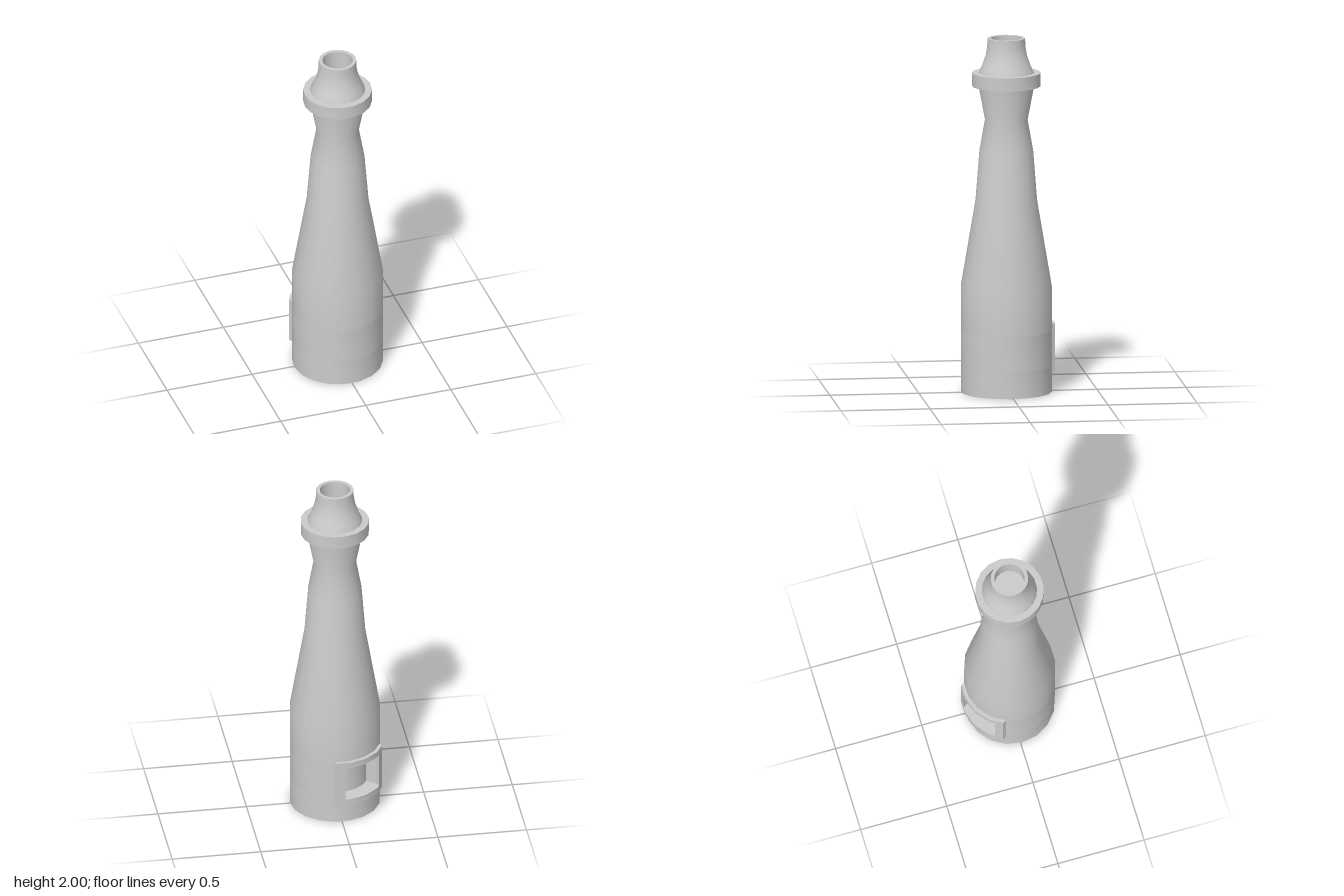
import * as THREE from 'three';
import { toCreasedNormals } from 'three/addons/utils/BufferGeometryUtils.js';

const SIDES = 18;
const STEP = (Math.PI * 2) / SIDES;
const RADIUS = 0.254;
const WINDOW = { bottom: 0.15, top: 0.35, half: 0.122, floorHalf: 0.098, floorRadius: 0.185 };
const FRAME = { bottom: 0.115, top: 0.385, half: 0.162, inner: 0.245, outer: 0.275 };

const material = new THREE.MeshStandardMaterial({ color: 0xcccccc });

function addMesh(parent, name, geometry) {
  const mesh = new THREE.Mesh(toCreasedNormals(geometry, Math.PI / 6), material);
  mesh.name = name;
  parent.add(mesh);
}

function lathe(profile) {
  return new THREE.LatheGeometry(profile.map(([r, y]) => new THREE.Vector2(r, y)), SIDES);
}

// Extrudes a floor plan of [x, z] points upwards between two heights
function extrudePlan(plan, bottom, top) {
  const shape = new THREE.Shape(plan.map(([x, z]) => new THREE.Vector2(x, -z)));
  const geometry = new THREE.ExtrudeGeometry(shape, { depth: top - bottom, bevelEnabled: false });
  return geometry.rotateX(-Math.PI / 2).translate(0, bottom, 0);
}

const corner = (r, k) => [r * Math.sin(k * STEP), r * Math.cos(k * STEP)];

// Point on the front of the polygon of radius r, at sideways offset x
function onWall(r, x) {
  let k = 0;
  while (corner(r, k + 1)[0] < Math.abs(x) && k < 3) k++;
  const [x0, z0] = corner(r, k);
  const [x1, z1] = corner(r, k + 1);
  return [x, z0 + ((z1 - z0) * (Math.abs(x) - x0)) / (x1 - x0)];
}

// Follows the polygon wall from x0 to x1, keeping its corners
function wallPath(r, x0, x1) {
  const corners = [-3, -2, -1, 0, 1, 2, 3]
    .map((k) => corner(r, k))
    .filter(([x]) => x > x0 + 1e-4 && x < x1 - 1e-4);
  return [onWall(r, x0), ...corners, onWall(r, x1)];
}

export function createModel() {
  const model = new THREE.Group();
  model.name = 'bottle';

  // The window faces +z while building, then the whole is turned
  const bottle = new THREE.Group();
  bottle.name = 'bottleParts';
  bottle.position.z = 0.009;
  bottle.rotation.y = Math.PI * 7 / 6;
  model.add(bottle);

  // Base below the window
  addMesh(bottle, 'base', lathe([[0, 0], [RADIUS, 0], [RADIUS, WINDOW.bottom], [0, WINDOW.bottom]]));

  // Band of the body with the tapered window recess
  const band = [onWall(RADIUS, WINDOW.half)];
  for (let k = 2; k <= SIDES - 2; k++) band.push(corner(RADIUS, k));
  band.push(onWall(RADIUS, -WINDOW.half));
  band.push(...wallPath(WINDOW.floorRadius, -WINDOW.floorHalf, WINDOW.floorHalf));
  addMesh(bottle, 'windowBand', extrudePlan(band, WINDOW.bottom, WINDOW.top));

  // Upper body, waisted neck and hollow mouth
  addMesh(bottle, 'bodyAndNeck', lathe([
    [0, WINDOW.top], [RADIUS, WINDOW.top], [RADIUS, 0.6], [0.172, 1.085], [0.15, 1.365],
    [0.119, 1.54], [0.156, 1.73], [0.157, 1.8], [0.134, 1.85], [0.115, 1.905],
    [0.107, 1.95], [0.105, 2], [0.085, 2], [0.085, 1.89], [0, 1.89],
  ]));

  // Collar ring
  addMesh(bottle, 'collar', lathe([[0.11, 1.73], [0.192, 1.73], [0.192, 1.805], [0.11, 1.805]]));

  // Raised frame around the window
  const frame = new THREE.Group();
  frame.name = 'windowFrame';
  bottle.add(frame);
  const bar = (name, x0, x1, y0, y1) => {
    const plan = [...wallPath(FRAME.outer, x0, x1), ...wallPath(FRAME.inner, x0, x1).reverse()];
    addMesh(frame, name, extrudePlan(plan, y0, y1));
  };
  bar('frameBottom', -FRAME.half, FRAME.half, FRAME.bottom, WINDOW.bottom);
  bar('frameTop', -FRAME.half, FRAME.half, WINDOW.top, FRAME.top);
  bar('frameSideA', -FRAME.half, -WINDOW.half, WINDOW.bottom, WINDOW.top);
  bar('frameSideB', WINDOW.half, FRAME.half, WINDOW.bottom, WINDOW.top);

  return model;
}
